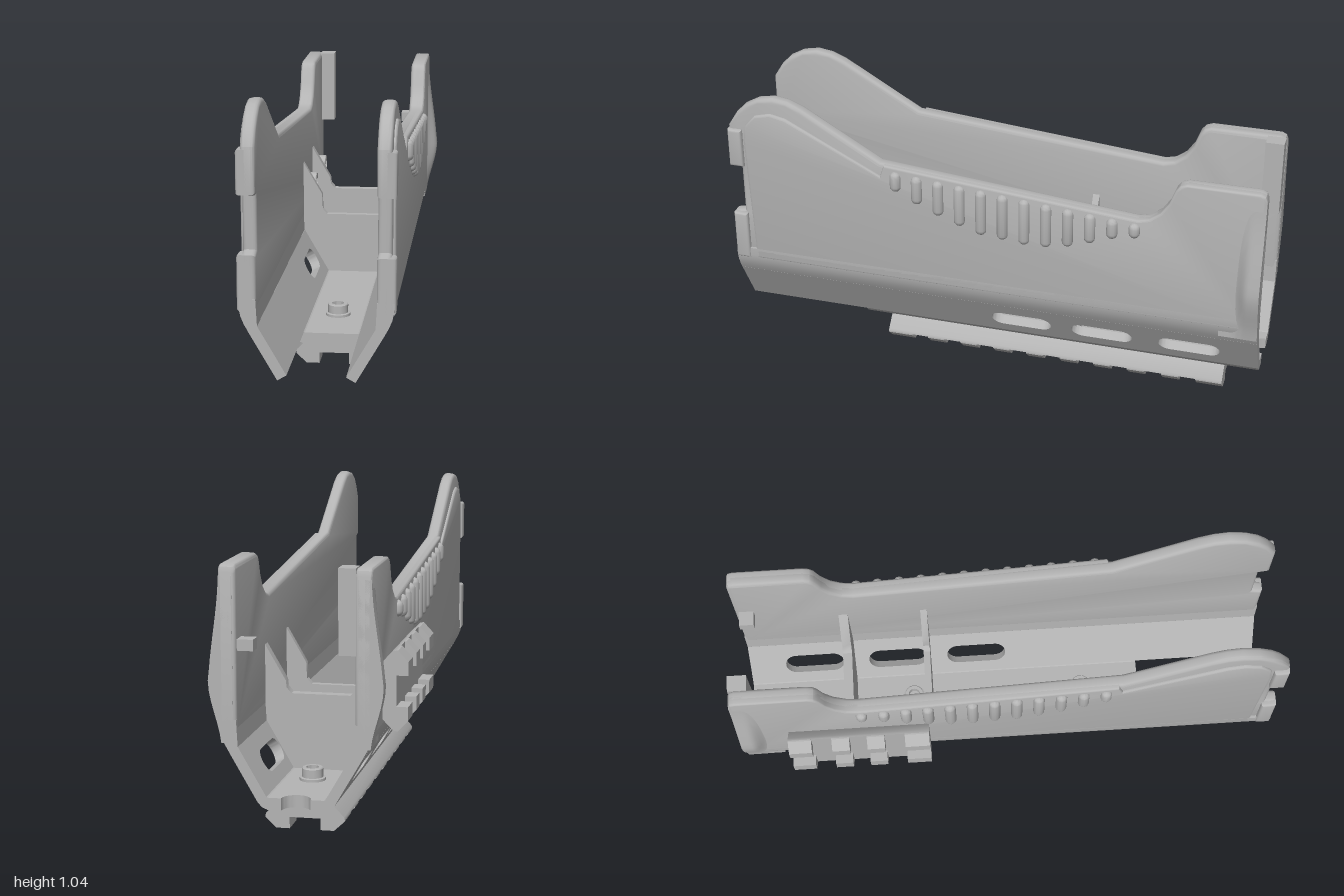
import * as THREE from 'three';
import { toCreasedNormals } from 'three/addons/utils/BufferGeometryUtils.js';

const CX = 0.0225; // centre line of the shell
const grey = new THREE.MeshStandardMaterial({ color: 0xb4b4b4 });
grey.name = 'matte grey';

const toShape = (pts) => new THREE.Shape(pts.map(([a, b]) => new THREE.Vector2(a, b)));

function extrude(shape, depth, bevel = 0) {
  return new THREE.ExtrudeGeometry(shape, {
    depth: depth - 2 * bevel, bevelEnabled: bevel > 0, bevelSize: bevel,
    bevelThickness: bevel, bevelOffset: -bevel, bevelSegments: 3, curveSegments: 10,
  }).translate(0, 0, bevel);
}

// Outline given as [z, y], thickened along x from x0 to x1
const sidePlate = (pts, x0, x1, bevel) =>
  extrude(toShape(pts.map(([z, y]) => [-z, y])), x1 - x0, bevel).rotateY(Math.PI / 2).translate(x0, 0, 0);

// Cross-section given as [x, y], swept along z from z0 to z1
const sweep = (pts, z0, z1) => extrude(toShape(pts), z1 - z0).translate(0, 0, z0);

const box = (x0, x1, y0, y1, z0, z1) =>
  new THREE.BoxGeometry(x1 - x0, y1 - y0, z1 - z0).translate((x0 + x1) / 2, (y0 + y1) / 2, (z0 + z1) / 2);

function mirrorX(geo) {
  const g = geo.index ? geo.toNonIndexed() : geo.clone();
  const p = g.attributes.position;
  for (let i = 0; i < p.count; i += 3) {
    const a = [p.getX(i), p.getY(i), p.getZ(i)];
    const b = [p.getX(i + 2), p.getY(i + 2), p.getZ(i + 2)];
    p.setXYZ(i, -b[0], b[1], b[2]);
    p.setXYZ(i + 1, -p.getX(i + 1), p.getY(i + 1), p.getZ(i + 1));
    p.setXYZ(i + 2, -a[0], a[1], a[2]);
  }
  return g;
}

function add(parent, name, geo) {
  const mesh = new THREE.Mesh(toCreasedNormals(geo, 0.6), grey);
  mesh.name = name;
  parent.add(mesh);
  return mesh;
}

function addPair(parent, name, geo) {
  add(parent, name + 'Left', geo);
  add(parent, name + 'Right', mirrorX(geo));
}

// Accessory rail pointing down: wedge-sided base with a double row of teeth
function makeRail(name, z0, z1, teeth) {
  const rail = new THREE.Group();
  rail.name = name;
  add(rail, 'railBase', sweep([[-0.1375, 0.04], [0.1375, 0.04], [0.135, 0.05], [0.09, 0.095],
    [0.09, 0.105], [-0.09, 0.105], [-0.09, 0.095], [-0.135, 0.05]], z0, z1));
  const tooth = [[0.053, 0], [0.1, 0], [0.1375, 0.035], [0.1375, 0.04], [0.053, 0.04]];
  for (const [a, b] of teeth) addPair(rail, 'railTooth', sweep(tooth, a, b));
  return rail;
}

// Flanged hollow bolt head standing along +y
function makeBolt(name) {
  const pts = [[0, 0], [0.045, 0], [0.045, 0.01], [0.037, 0.012], [0.037, 0.042], [0.034, 0.045],
    [0.022, 0.045], [0.022, 0.02], [0, 0.02]].map(([r, y]) => new THREE.Vector2(r, y));
  const group = new THREE.Group();
  group.name = name;
  add(group, 'boltHead', new THREE.LatheGeometry(pts, 24));
  return group;
}

export function createModel() {
  const model = new THREE.Group();
  model.name = 'handguard';
  const shell = new THREE.Group();
  shell.name = 'shell';
  shell.position.x = CX;
  model.add(shell);

  // Upright side walls with front hump, dipped middle and raised rear
  const rear = [[-0.55, 0.75], [-0.59, 0.76], [-0.63, 0.79], [-0.66, 0.835], [-0.68, 0.888],
    [-0.695, 0.907], [-0.72, 0.916], [-0.975, 0.916], [-0.993, 0.908], [-1, 0.89], [-1, 0.36]];
  addPair(shell, 'sideWall', sidePlate([[1, 0.36], [1, 0.55], [0.96, 0.56], [0.96, 0.74], [1, 0.75],
    [1, 0.91], [0.965, 0.965], [0.93, 1.0], [0.88, 1.027], [0.82, 1.038], [0.765, 1.03],
    [0.71, 1.008], [0.41, 0.835], ...rear], 0.198, 0.246, 0.014));
  addPair(shell, 'sidePanel', sidePlate([[0.92, 0.36], [0.94, 0.86], [0.93, 0.92], [0.89, 0.965],
    [0.83, 0.98], [0.77, 0.968], [0.41, 0.785], [0.395, 0.832], ...rear], 0.215, 0.256, 0.008));
  for (const [y0, y1] of [[0.36, 0.55], [0.75, 0.9]])
    addPair(shell, 'frontLip', sidePlate([[0.945, y0], [1, y0], [1, y1], [0.945, y1]], 0.215, 0.2625, 0.01));

  // Rounded shoulder between upright wall and sloping wall
  addPair(shell, 'shoulder', sweep([[0.2, 0.4], [0.195, 0.306], [0.225, 0.29], [0.239, 0.315],
    [0.25, 0.342], [0.256, 0.37], [0.256, 0.4]], -1, 1));

  // Sloping lower wall with three long vents
  const slope = toShape([[-1, 0], [1, 0], [1, 0.192], [-1, 0.192]]);
  for (const z of [-0.105, -0.415, -0.745]) {
    const r = 0.042, h = 0.115 - r, v = 0.09;
    const hole = new THREE.Path();
    hole.absarc(-z + h, v, r, -Math.PI / 2, Math.PI / 2, false);
    hole.absarc(-z - h, v, r, Math.PI / 2, Math.PI * 1.5, false);
    slope.holes.push(hole);
  }
  const t = 0.036, n = new THREE.Vector3(0.866, -0.5, 0);
  const basis = new THREE.Matrix4().makeBasis(
    new THREE.Vector3(0, 0, -1), new THREE.Vector3(0.5, 0.866, 0), n)
    .setPosition(0.13 - n.x * t, 0.125 - n.y * t, 0);
  addPair(shell, 'slopingWall', extrude(slope, t).applyMatrix4(basis));

  // Floor, open at the front, with a round notch at the back
  const floor = new THREE.Shape();
  floor.moveTo(-0.097, -0.53).lineTo(0.097, -0.53).lineTo(0.097, 1).lineTo(0.05, 1);
  floor.absarc(0, 1, 0.05, 0, Math.PI, true);
  floor.lineTo(-0.097, 1);
  add(shell, 'floor', extrude(floor, 0.042).rotateX(-Math.PI / 2).translate(0, 0.1, 0));
  addPair(shell, 'floorCorner', sweep([[0.095, 0.1], [0.115, 0.108], [0.13, 0.125], [0.112, 0.15],
    [0.095, 0.142]], -1, 0.53));

  // Swelling at the rear edge
  const flare = new THREE.BoxGeometry(0.04, 0.56, 0.14, 1, 16, 14).translate(0.23, 0.6, -0.93);
  const p = flare.attributes.position;
  for (let i = 0; i < p.count; i++) {
    if (p.getX(i) < 0.23) continue;
    const y = p.getY(i);
    const up = y < 0.53 ? THREE.MathUtils.smoothstep(y, 0.3, 0.53)
      : 1 - 0.9 * THREE.MathUtils.smoothstep(y, 0.48, 0.9);
    p.setX(i, 0.25 + 0.044 * up * (1 - THREE.MathUtils.smoothstep(p.getZ(i), -0.96, -0.9)));
  }
  flare.computeVertexNormals();
  addPair(shell, 'rearFlare', flare);

  // Grip ribs below the dipped edge
  const ribBottoms = [0.735, 0.695, 0.66, 0.63, 0.605, 0.598, 0.59, 0.592, 0.608, 0.635, 0.665, 0.68];
  ribBottoms.forEach((y0, i) => {
    const z = 0.35 - i * 0.0809, y1 = 0.798 + 0.084 * (z - 0.4) + 0.02, r = 0.021;
    addPair(shell, 'gripRib', new THREE.CapsuleGeometry(r, y1 - y0 - 2 * r, 5, 12)
      .translate(0.254, (y0 + y1) / 2, z));
  });

  // Inner bulkheads with raised sides
  for (const [z0, z1, top] of [[-0.62, -0.585, 0.41], [-0.31, -0.285, 0.375]]) {
    const half = [[0.1, 0.12], [0.2, 0.31], [0.205, 0.58], [0.198, 0.58], [0.125, 0.455],
      [0.122, top + 0.02], [0.105, top]];
    const other = half.map(([x, y]) => [-x, y]).reverse();
    add(shell, 'bulkhead', sweep([...half, ...other], z0, z1));
  }

  // Rear stop block on one wall, small catch on the other
  add(model, 'rearBlock', box(-0.18, -0.122, 0.63, 0.916, -0.998, -0.93));
  add(model, 'rearCatch', box(0.166, 0.225, 0.63, 0.668, -0.985, -0.93));

  // Bottom rail: end teeth are wider
  const lower = [[0.345, 0.44], [-0.87, -0.77]];
  for (let i = 0; i < 8; i++) lower.push([0.215 - i * 0.1314, 0.28 - i * 0.1314]);
  const bottomRail = makeRail('bottomRail', -0.87, 0.44, lower);
  bottomRail.position.x = CX;
  model.add(bottomRail);

  // Side rail
  const sideRail = makeRail('sideRail', -0.82, -0.3,
    [[-0.82, -0.735], [-0.66, -0.595], [-0.53, -0.465], [-0.39, -0.3]]);
  sideRail.rotation.z = -Math.PI / 2;
  sideRail.position.set(-0.32, 0.48, 0);
  model.add(sideRail);

  // Bolts holding the rails
  for (const z of [-0.75, -0.36, 0.3]) {
    const bolt = makeBolt('floorBolt');
    bolt.position.set(CX, 0.141, z);
    model.add(bolt);
  }
  for (const z of [-0.73, -0.4]) {
    const bolt = makeBolt('wallBolt');
    bolt.rotation.z = -Math.PI / 2;
    bolt.position.set(-0.18, 0.48, z);
    model.add(bolt);
  }
  return model;
}
